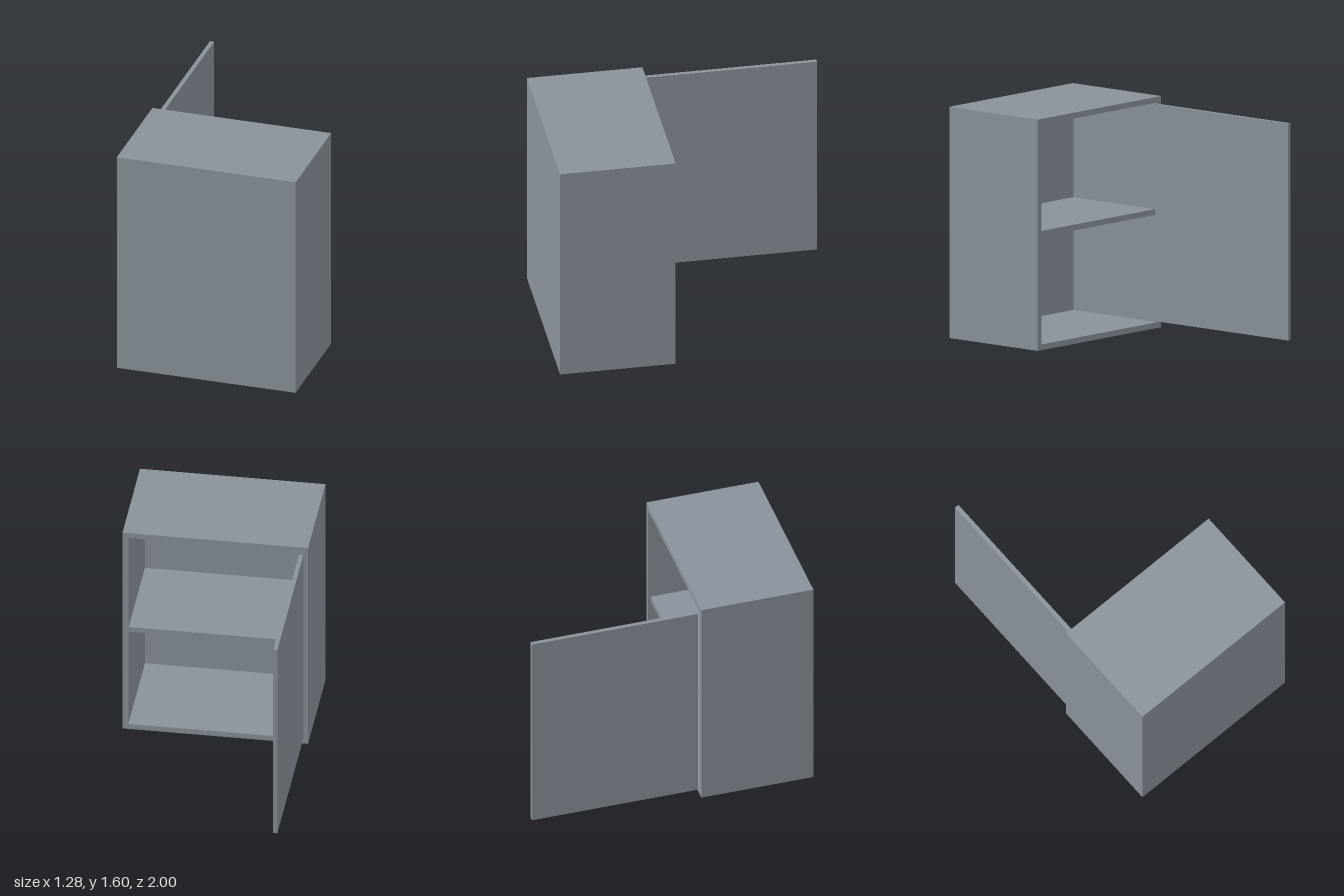
import * as THREE from 'three';

export function createModel() {
  const model = new THREE.Group();
  model.name = 'cabinet';
  const paint = new THREE.MeshStandardMaterial({ color: 0x89929a });
  paint.name = 'blue grey';

  // Adds a box spanning two opposite corners
  function panel(name, [x0, y0, z0], [x1, y1, z1], parent) {
    const mesh = new THREE.Mesh(new THREE.BoxGeometry(x1 - x0, y1 - y0, z1 - z0), paint);
    mesh.position.set((x0 + x1) / 2, (y0 + y1) / 2, (z0 + z1) / 2);
    mesh.name = name;
    parent.add(mesh);
  }

  const W = 0.64, H = 1.6, T = 0.04, BACK = 0.2, FRONT = 1;

  // Carcass: a frame open towards -z, extruded around its opening
  const outline = new THREE.Shape([[-W, 0], [W, 0], [W, H], [-W, H]].map(p => new THREE.Vector2(...p)));
  const opening = [[-W + T, T], [-W + T, H - T], [W - T, H - T], [W - T, T]];
  outline.holes.push(new THREE.Path(opening.map(p => new THREE.Vector2(...p))));
  const frameGeometry = new THREE.ExtrudeGeometry(outline, { depth: FRONT - BACK, bevelEnabled: false });
  const frame = new THREE.Mesh(frameGeometry, paint);
  frame.position.z = BACK;
  frame.name = 'carcass';
  model.add(frame);

  // Closed panel filling the frame on the +z side
  panel('closingPanel', [-W + T, T, FRONT - T], [W - T, H - T, FRONT], model);

  // Middle shelf, set slightly in from the opening
  panel('shelf', [-W + T, 0.78, BACK + 0.02], [W - T, 0.82, FRONT - T], model);

  // Door swung open at a right angle
  panel('door', [-0.61, 0.05, -1], [-0.58, 1.55, 0.185], model);

  return model;
}
